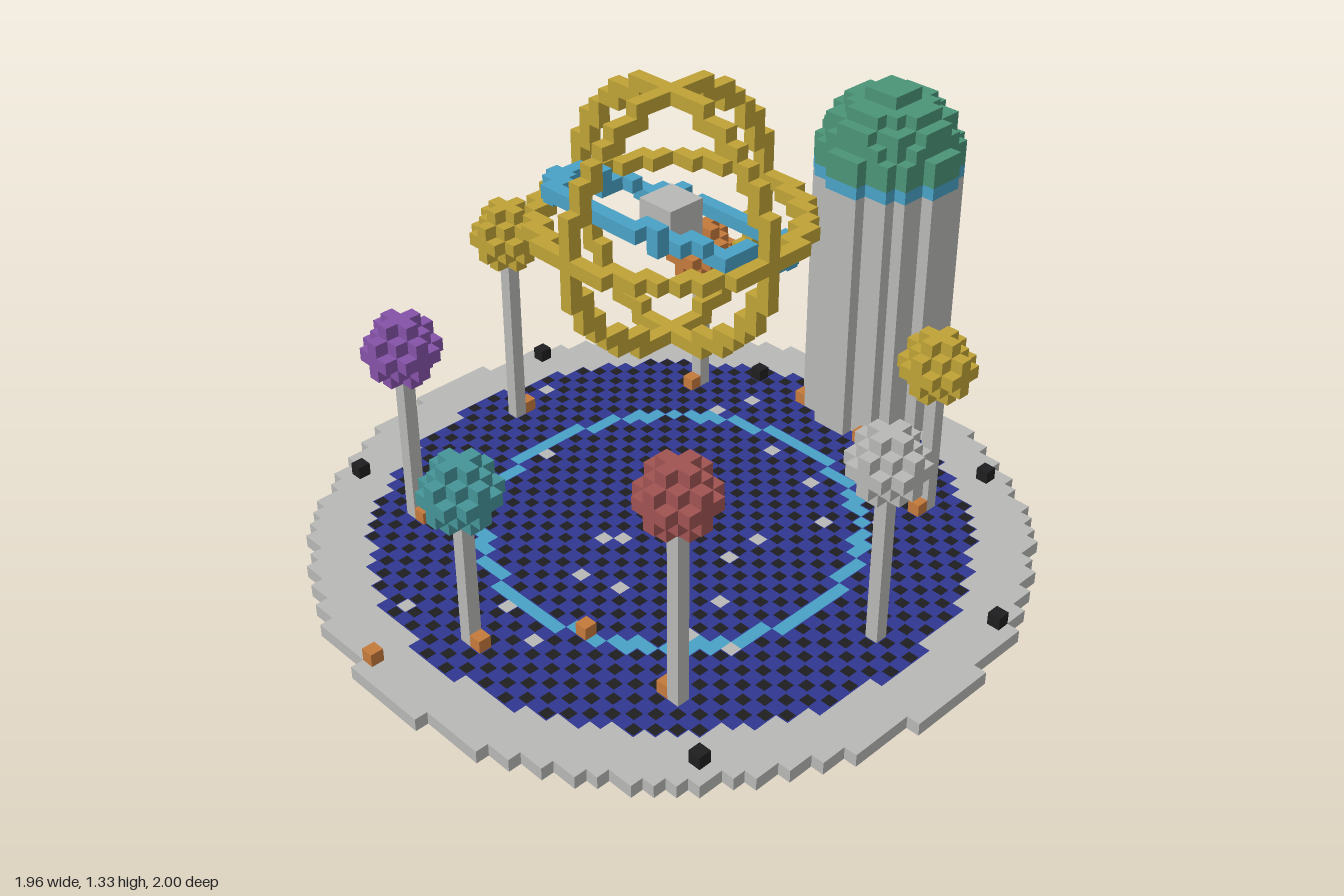
import * as THREE from 'three';
import { mergeGeometries } from 'three/addons/utils/BufferGeometryUtils.js';

const S = 1 / 27; // edge of one cube

const mat = (name, color) => {
  const m = new THREE.MeshStandardMaterial({ color });
  m.name = name;
  return m;
};

// box spanning cells x0..x1 in one row
function run(x0, x1, y, z, size = 1, height = 1) {
  const g = new THREE.BoxGeometry((x1 - x0 + size) * S, height * S, size * S);
  return g.translate(((x0 + x1) / 2) * S, (y + 0.5) * S, (z + 0.5) * S);
}

const mesh = (name, material, geos) => {
  const m = new THREE.Mesh(mergeGeometries(geos), material);
  m.name = name;
  return m;
};

// fill every cell passing the test, joining neighbours along x
function fill(name, material, [cx, cy, cz], [rx, ry, rz], test) {
  const geos = [];
  for (let y = -ry; y <= ry; y++)
    for (let z = -rz; z <= rz; z++) {
      let start = null;
      for (let x = -rx; x <= rx + 1; x++) {
        const on = x <= rx && test(x, y, z);
        if (on && start === null) start = x;
        if (!on && start !== null) {
          geos.push(run(cx + start, cx + x - 1, cy + y, cz + z));
          start = null;
        }
      }
    }
  return mesh(name, material, geos);
}

export function createModel() {
  const group = new THREE.Group();
  const stone = mat('stone', 0xb8b8b6);
  const blue = mat('deepBlue', 0x30368f);
  const black = mat('black', 0x1e1e20);
  const cyan = mat('cyan', 0x4aa2c6);
  const gold = mat('gold', 0xbfa236);
  const green = mat('green', 0x4b9478);
  const purple = mat('purple', 0x8552a8);
  const orange = mat('orange', 0xc47a3c);
  const red = mat('red', 0xa05352);
  const teal = mat('teal', 0x459498);

  // tower footprint, cut flat at the back
  const TZ = -23;
  const inTower = (x, z) => z >= -27 && x * x + (z - TZ) ** 2 <= 27;
  const inWall = (x, z) => inTower(x, z) && x * x + (z - TZ) ** 2 >= 17;

  // paved floor
  const stars = [[10, -13], [11, -11], [8, -8], [4, -11], [-8, -13], [-1, -12], [-7, -16], [6, -3],
    [6, 0], [9, 4], [13, 7], [10, 8], [3, 16], [-1, 15], [-11, 10], [-2, 5], [0, 9], [-6, 20],
    [-13, 1], [-20, -5], [3, 8], [-1, 4]];
  const isStar = (x, z) => stars.some(([a, b]) => a === x && b === z);
  const dist = (x, z) => Math.hypot(x, z);
  const inPool = (x, z) => dist(x, z) <= 22.2;
  const onCircle = (x, z) => Math.round(dist(x, z)) === 14;
  const isBlue = (x, z) => inPool(x, z) && !onCircle(x, z) && !isStar(x, z) && !inWall(x, z);
  const disc = [26, 0, 26];
  const floor = (name, m, test) => group.add(fill(name, m, [0, 0, 0], disc, (x, y, z) => test(x, z)));
  floor('rim', stone, (x, z) => dist(x, z) <= 26.27 && !inPool(x, z) && !inWall(x, z));
  floor('starFloor', blue, isBlue);
  floor('floorCircle', cyan, (x, z) => onCircle(x, z) && !isStar(x, z));
  floor('floorStars', stone, (x, z) => isStar(x, z));

  // dark checker inlay, showing above and below
  const tiles = [];
  for (let x = -22; x <= 22; x++)
    for (let z = -22; z <= 22; z++)
      if ((x + z) & 1 && isBlue(x, z)) tiles.push(run(x, x, 0, z, 0.8, 1.05));
  group.add(mesh('floorTiles', black, tiles));

  // domed tower
  const tower = new THREE.Group();
  tower.name = 'tower';
  const layer = (x, z) => inTower(x, z + TZ);
  tower.add(
    fill('towerFoot', stone, [0, 0, TZ], [5, 0, 5], (x, y, z) => inWall(x, z + TZ)),
    fill('towerBody', stone, [0, 11, TZ], [5, 10, 5], (x, y, z) => layer(x, z)),
    fill('towerBand', cyan, [0, 22, TZ], [5, 0, 5], (x, y, z) => layer(x, z)),
    fill('dome', green, [0, 23, TZ], [5, 5, 5],
      (x, y, z) => y >= 0 && layer(x, z) && x * x + y * y + z * z <= 27)
  );
  group.add(tower);

  // floating ring sphere
  const sphere = new THREE.Group();
  sphere.name = 'ringSphere';
  const C = [0, 26, 0];
  const nine = (a, b) => Math.round(Math.hypot(a, b)) === 9;
  sphere.add(
    fill('goldRings', gold, C, [9, 9, 9], (x, y, z) =>
      (z === 0 && nine(x, y)) || (x === 0 && nine(y, z)) || (y === 0 && nine(x, z))),
    fill('core', stone, C, [1, 1, 1], () => true)
  );
  const tilted = new Set();
  for (let i = 0; i < 360; i++) {
    const a = (i * Math.PI) / 180;
    const v = [8 * Math.cos(a), 8 * Math.sin(a) * 0.39, 8 * Math.sin(a) * 0.92];
    tilted.add(v.map((n) => Math.round(n) + 0).join());
  }
  sphere.add(fill('tiltedRing', cyan, C, [8, 4, 8], (x, y, z) => tilted.has([x, y, z].join())));
  group.add(sphere);

  // globes on posts: x, z, height, colour
  const globes = [
    [-19, -1, 17, gold], [19, -1, 15, stone], [0, 19, 13, teal], [-14, 13, 15, purple],
    [14, 13, 17, red], [12, -15, 13, gold], [-12, -15, 13, orange],
  ];
  for (const [x, z, h, m] of globes) {
    const post = new THREE.Mesh(new THREE.BoxGeometry(S, (h - 2) * S, S), stone);
    post.name = 'post';
    post.position.set(x * S, (h / 2) * S, (z + 0.5) * S);
    group.add(post, fill('globe', m, [x, h, z], [2, 2, 2],
      (a, b, c) => a * a + b * b + c * c <= 5));
  }

  // loose cubes on the floor
  const cubes = (name, m, list) => group.add(mesh(name, m, list.map(([x, z]) => run(x, x, 1, z))));
  cubes('orangeCubes', orange, [[-3, 25], [5, 13], [-4, -19], [3, -18], [1, 19], [-19, -2],
    [-13, 13], [13, 13], [12, -14], [-12, -14]]);
  cubes('blackCubes', black, [[13, -21], [-24, -8], [24, -8], [-21, 13], [19, 16], [-9, -19]]);

  return group;
}
